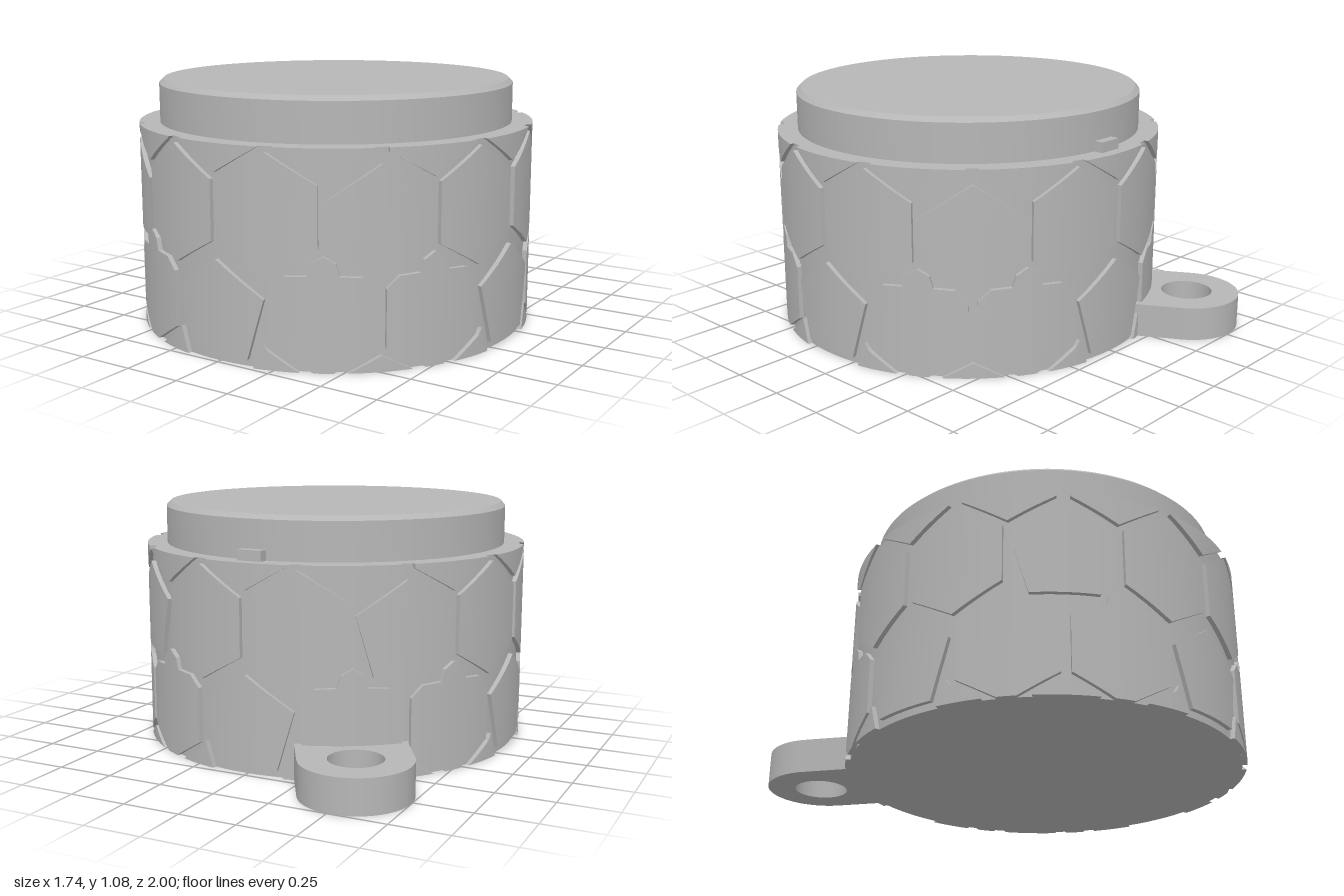
import * as THREE from 'three';
import { toCreasedNormals } from 'three/addons/utils/BufferGeometryUtils.js';

const R = 0.87, CORE = 0.85, H = 0.89, CZ = 0.13;

// Height of a polyline [[u, y], ...] at u
function heightAt(line, u) {
  for (let i = 1; i < line.length; i++) {
    const [a, ya] = line[i - 1], [b, yb] = line[i];
    if (u <= b + 1e-6) return ya + (yb - ya) * THREE.MathUtils.clamp((u - a) / (b - a), 0, 1);
  }
  return line[line.length - 1][1];
}

// Raised panel wrapped round the drum, between a lower and an upper edge line
function panelGeometry(lo, hi) {
  const us = [...lo, ...hi].map((p) => p[0]);
  const u0 = Math.min(...us), u1 = Math.max(...us);
  for (let i = 1; i < 12; i++) us.push(u0 + ((u1 - u0) * i) / 12);
  us.sort((a, b) => a - b);
  const cols = us.filter((u, i) => i === 0 || u - us[i - 1] > 1e-4);
  const pos = [];
  const at = (r, u, y) => new THREE.Vector3(r * Math.sin(u / R), y, r * Math.cos(u / R));
  const tri = (a, b, c) => {
    const area = b.clone().sub(a).cross(c.clone().sub(a)).length();
    if (area > 1e-8) for (const p of [a, b, c]) pos.push(p.x, p.y, p.z);
  };
  const quad = (a, b, c, d) => { tri(a, b, c); tri(a, c, d); };
  const ends = (u) => {
    const l = heightAt(lo, u), h = Math.max(l, heightAt(hi, u));
    return { lo: at(R, u, l), hi: at(R, u, h), li: at(CORE - 0.005, u, l), hin: at(CORE - 0.005, u, h) };
  };
  const e = cols.map(ends);
  for (let i = 1; i < e.length; i++) {
    const a = e[i - 1], b = e[i];
    quad(a.lo, b.lo, b.hi, a.hi);
    quad(a.hi, b.hi, b.hin, a.hin);
    quad(a.li, b.li, b.lo, a.lo);
  }
  const a = e[0], b = e[e.length - 1];
  quad(a.li, a.lo, a.hi, a.hin);
  quad(b.lo, b.li, b.hin, b.hi);
  const g = new THREE.BufferGeometry();
  g.setAttribute('position', new THREE.Float32BufferAttribute(pos, 3));
  return toCreasedNormals(g, 0.5);
}

const flip = (line) => line.map(([u, y]) => [-u, y]).reverse();
const pentagon = (y) => panelGeometry(
  [[-0.217, y + 0.255], [-0.142, y], [0.142, y], [0.217, y + 0.255]],
  [[-0.217, y + 0.255], [0, y + 0.395], [0.217, y + 0.255]]);

export function createModel() {
  const model = new THREE.Group();
  const grey = new THREE.MeshStandardMaterial({ color: 0xb6b6b6 });
  grey.name = 'plain grey';

  const add = (name, geometry, parent = model) => {
    const mesh = new THREE.Mesh(geometry, grey);
    mesh.name = name;
    parent.add(mesh);
    return mesh;
  };

  const drum = new THREE.Group();
  drum.name = 'drum';
  drum.position.z = CZ;
  model.add(drum);

  // Solid core and the raised lid with its chamfered rim
  const v = (x, y) => new THREE.Vector2(x, y);
  add('core', toCreasedNormals(new THREE.LatheGeometry(
    [v(0, 0), v(CORE, 0), v(CORE, H), v(0, H)], 96), 0.4), drum);
  add('lid', toCreasedNormals(new THREE.LatheGeometry(
    [v(0.78, H - 0.02), v(0.78, 1.058), v(0.76, 1.078), v(0, 1.078)], 96), 0.4), drum);

  // Locating key at the back of the lid
  const key = add('key', new THREE.BoxGeometry(0.11, 0.05, 0.08), drum);
  key.position.set(0, H + 0.02, -0.78);

  // Panel shapes, with the grooves left between them
  const upperHex = panelGeometry(
    [[-0.208, 0.495], [0, 0.38], [0.208, 0.495]],
    [[-0.208, 0.745], [0, 0.868], [0.208, 0.745]]);
  const lowerHex = panelGeometry(
    [[-0.208, 0.095], [-0.04, 0], [0.04, 0], [0.208, 0.095]],
    [[-0.208, 0.335], [-0.155, 0.385], [-0.065, 0.39], [-0.05, 0.44], [0, 0.47],
      [0.05, 0.44], [0.065, 0.39], [0.155, 0.385], [0.208, 0.335]]);
  const upperPent = pentagon(0.432);
  const lowerPent = pentagon(0.03);

  // Fillers along the top and bottom edges
  const rim = [[-0.2, H], [0.2, H]];
  const topHexFill = panelGeometry([[-0.2, H], [0, 0.775], [0.2, H]], rim);
  const topMixLo = [[-0.2, H], [0, 0.765], [0.2, 0.872]];
  const topMixFill = panelGeometry(topMixLo, rim);
  const topMixFlip = panelGeometry(flip(topMixLo), rim);
  const footHexFill = panelGeometry([[-0.13, 0], [0.13, 0]], [[-0.13, 0], [0, 0.067], [0.13, 0]]);
  const footMixHi = [[-0.06, 0], [-0.02, 0.11], [0, 0.08], [0.13, 0]];
  const footMixFill = panelGeometry([[-0.06, 0], [0.13, 0]], footMixHi);
  const footMixFlip = panelGeometry([[-0.13, 0], [0.06, 0]], flip(footMixHi));

  // The pattern repeats every quarter turn: [name, geometry, degrees]
  const pattern = [
    ['upperHexagon', upperHex, 15], ['upperHexagon', upperHex, 75], ['upperPentagon', upperPent, 45],
    ['lowerHexagon', lowerHex, 30], ['lowerHexagon', lowerHex, 60], ['lowerPentagon', lowerPent, 0],
    ['topFiller', topHexFill, 0], ['topFiller', topMixFill, 30], ['topFiller', topMixFlip, 60],
    ['footFiller', footHexFill, 45], ['footFiller', footMixFill, 15], ['footFiller', footMixFlip, 75],
  ];
  for (let q = 0; q < 4; q++) {
    for (const [name, geometry, deg] of pattern) {
      add(name, geometry, drum).rotation.y = THREE.MathUtils.degToRad(deg + q * 90);
    }
  }

  // Hanging lug with a round hole, pointing back and to the right
  const outline = new THREE.Shape();
  outline.moveTo(0.3, 0.235);
  outline.lineTo(0, 0.235);
  outline.absarc(0, 0, 0.235, Math.PI / 2, Math.PI * 1.5, false);
  outline.lineTo(0.3, -0.235);
  outline.closePath();
  outline.holes.push(new THREE.Path().absarc(0, 0, 0.115, 0, Math.PI * 2, true));
  const lugGeometry = new THREE.ExtrudeGeometry(outline, { depth: 0.15, bevelEnabled: false, curveSegments: 32 });
  lugGeometry.rotateX(-Math.PI / 2);
  const lug = add('lug', toCreasedNormals(lugGeometry, 0.5));
  lug.position.set(-0.515, 0, -0.765);
  lug.rotation.y = -Math.PI / 3;

  return model;
}
